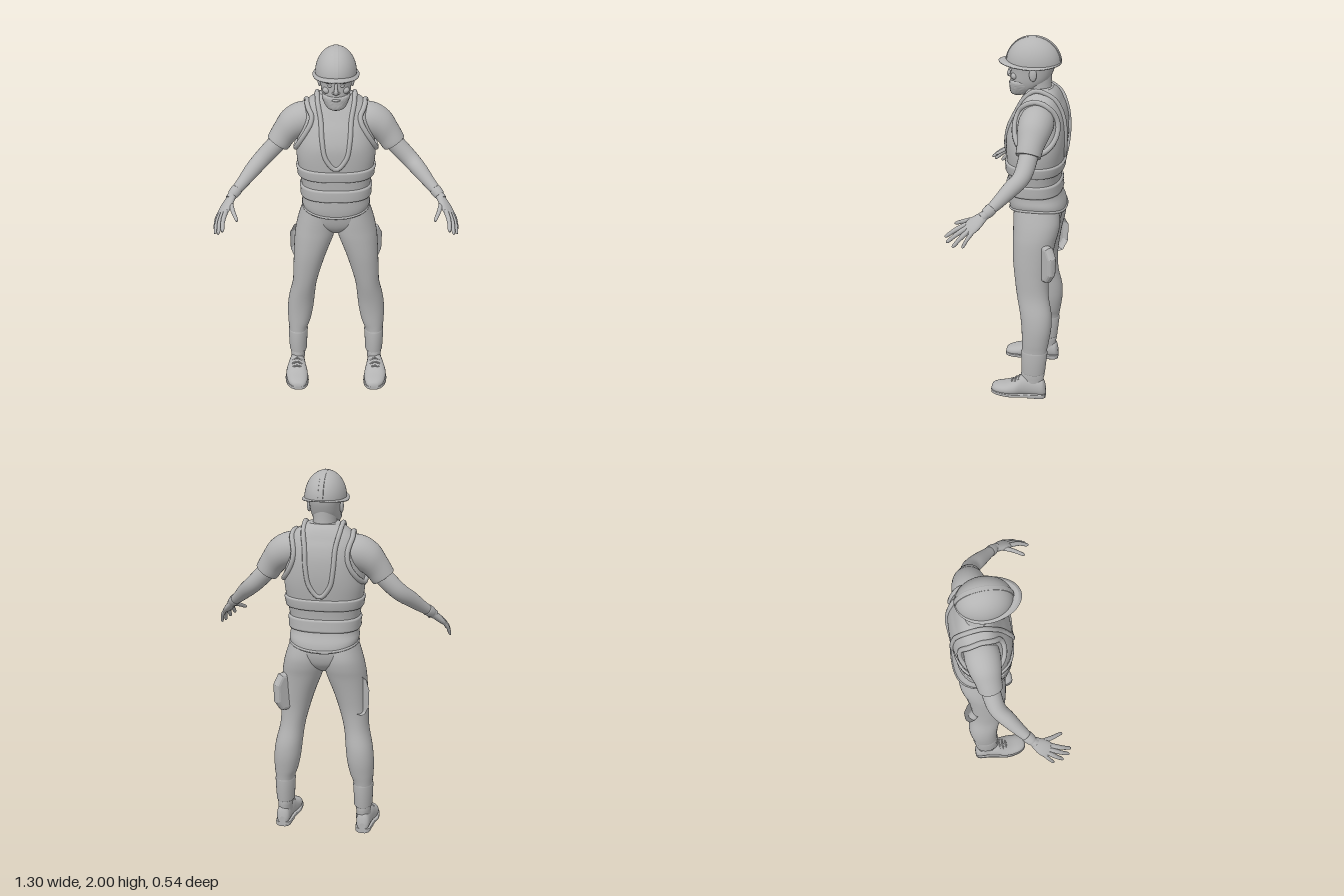
import * as THREE from 'three';

const V = (x, y, z) => new THREE.Vector3(x, y, z);
const TAU = Math.PI * 2;

// Catmull-Rom interpolation through the rows of a small table
function smooth(rows, sub = 4) {
  const out = [], at = i => rows[Math.max(0, Math.min(rows.length - 1, i))];
  for (let i = 0; i < rows.length - 1; i++)
    for (let s = 0; s < sub; s++) {
      const t = s / sub;
      out.push(rows[i].map((b, k) => {
        const a = at(i - 1)[k], c = at(i + 1)[k], d = at(i + 2)[k];
        return b + 0.5 * t * (c - a + t * (2 * a - 5 * b + 4 * c - d + t * (3 * (b - c) + d - a)));
      }));
    }
  out.push(rows[rows.length - 1]);
  return out;
}

// Closed smooth skin over a list of rings, with both ends capped
function skin(rings) {
  const n = rings[0].length, pos = [], idx = [];
  rings.forEach(r => r.forEach(p => pos.push(p.x, p.y, p.z)));
  for (let i = 0; i < rings.length - 1; i++)
    for (let j = 0; j < n; j++) {
      const a = i * n + j, b = i * n + (j + 1) % n;
      idx.push(a, a + n, b, b, a + n, b + n);
    }
  [0, rings.length - 1].forEach((ri, end) => {
    const base = pos.length / 3, mid = V(0, 0, 0);
    rings[ri].forEach(p => { mid.addScaledVector(p, 1 / n); pos.push(p.x, p.y, p.z); });
    pos.push(mid.x, mid.y, mid.z);
    for (let j = 0; j < n; j++) {
      const a = base + j, b = base + (j + 1) % n;
      idx.push(base + n, end ? b : a, end ? a : b);
    }
  });
  const g = new THREE.BufferGeometry();
  g.setAttribute('position', new THREE.Float32BufferAttribute(pos, 3));
  g.setIndex(idx);
  g.computeVertexNormals();
  return g;
}

const spow = (v, e) => Math.sign(v) * Math.abs(v) ** e;
const ringOf = (n, f) => Array.from({ length: n }, (_, j) => f(j / n * TAU));

// Upright ring from [y, xMin, xMax, zFront, zBack]
const upright = ([y, x0, x1, zf, zb], e = 2, n = 40) => ringOf(n, a => V(
  (x0 + x1) / 2 + (x1 - x0) / 2 * spow(Math.cos(a), 2 / e), y,
  (zf + zb) / 2 + (zf - zb) / 2 * spow(Math.sin(a), 2 / e)));

// Round limb along [x, y, z, radius] rows
function limb(rows, n = 20, sub = 4) {
  const r = smooth(rows, sub);
  const c = new THREE.CatmullRomCurve3(rows.map(p => V(p[0], p[1], p[2])));
  const f = c.computeFrenetFrames(r.length - 1);
  return skin(r.map((p, i) => ringOf(n, a => V(p[0], p[1], p[2])
    .addScaledVector(f.normals[i], Math.cos(a) * p[3])
    .addScaledVector(f.binormals[i], -Math.sin(a) * p[3]))));
}

const piping = (pts, r, closed = true) =>
  new THREE.TubeGeometry(new THREE.CatmullRomCurve3(pts, closed), 96, r, 8, closed);

const ball = (x, y, z, sx, sy, sz) => new THREE.SphereGeometry(1, 20, 14).scale(sx, sy, sz).translate(x, y, z);

export function createModel() {
  const root = new THREE.Group();
  const grey = new THREE.MeshStandardMaterial({ color: 0xb4b4b4 });
  grey.name = 'plain grey';
  const add = (name, geo) => {
    const m = new THREE.Mesh(geo, grey);
    m.name = name;
    root.add(m);
  };
  // Adds a part on the left (+x) and its mirror image on the right
  const pair = (name, geo) => {
    add('left ' + name, geo);
    const g = geo.clone().scale(-1, 1, 1), ix = g.index ? g.index.array : null;
    if (ix) for (let i = 0; i < ix.length; i += 3) [ix[i], ix[i + 1]] = [ix[i + 1], ix[i]];
    add('right ' + name, g);
  };

  // Vest body: [y, half width, front z, back z]
  const E = 2.5;
  const vest = smooth([[1.055, .178, .03, -.268], [1.1, .186, .038, -.262], [1.16, .182, .04, -.24],
    [1.22, .185, .04, -.235], [1.3, .198, .045, -.245], [1.4, .213, .052, -.262], [1.48, .208, .05, -.27],
    [1.56, .195, .025, -.268], [1.62, .186, -.005, -.255], [1.66, .176, -.025, -.238],
    [1.69, .15, -.04, -.225], [1.715, .115, -.05, -.21], [1.735, .085, -.06, -.19]]);
  const vestAt = y => {
    const i = Math.max(1, vest.findIndex(r => r[0] >= y));
    const a = vest[i - 1], b = vest[i], t = (y - a[0]) / (b[0] - a[0]);
    return a.map((v, k) => v + (b[k] - v) * t);
  };
  const vestRing = ([y, w, f, b], o = 0) => upright([y, -w - o, w + o, f + o, b - o], E, 64);
  const hemLift = ring => ring.map(p => {
    p.y += Math.max(0, 1 - (p.y - 1.055) / .09) * 3 * .3 * p.x * p.x;
    return p;
  });
  add('vest', skin(vest.map(r => hemLift(vestRing(r)))));
  const onVest = (x, y, side) => {
    const [, w, f, b] = vestAt(y), k = (1 - Math.min(1, Math.abs(x / w)) ** E) ** (1 / E);
    return V(x, y, (f + b) / 2 + side * k * (f - b) / 2);
  };

  // Raised waist bands and hem
  for (const [y0, y1] of [[1.16, 1.235], [1.28, 1.345]])
    add('vest band', skin([[0, -.004], [.08, .008], [.2, .012], [.5, .01], [.8, .012], [.92, .008], [1, -.004]]
      .map(([t, o]) => vestRing(vestAt(y0 + (y1 - y0) * t), o))));
  add('vest hem', piping(hemLift(vestRing(vestAt(1.066))), .007));

  // Deep collar piping, front and back, and armhole piping
  const edge = [[.095, 1.695], [.08, 1.62], [.073, 1.52], [.053, 1.42], [0, 1.362]];
  const half = s => [...edge.map(([x, y]) => onVest(-s * x, y, s)),
    ...edge.slice(0, 4).reverse().map(([x, y]) => onVest(s * x, y, s))];
  add('collar piping', piping([V(-.1, 1.735, -.115), ...half(1), V(.1, 1.735, -.115), ...half(-1)], .013));
  pair('armhole piping', piping(ringOf(20, a => {
    const y = 1.558 + .132 * Math.cos(a), z = -.125 + .113 * Math.sin(a), [, w, f, b] = vestAt(y);
    const k = Math.min(.97, Math.abs((z - (f + b) / 2) / ((f - b) / 2)));
    return V(w * (1 - k ** E) ** (1 / E) + .004, y, z);
  }), .014));

  // Sleeves, arms and wrists
  pair('sleeve', limb([[.11, 1.59, -.13, .08], [.18, 1.585, -.13, .092], [.245, 1.55, -.125, .084],
    [.282, 1.5, -.118, .07], [.306, 1.462, -.113, .066], [.313, 1.452, -.112, .064]], 28));
  pair('arm', limb([[.27, 1.5, -.118, .05], [.34, 1.425, -.11, .049], [.4, 1.365, -.092, .046],
    [.45, 1.32, -.045, .042], [.5, 1.27, .005, .033], [.548, 1.225, .055, .025], [.565, 1.205, .078, .025]], 24));
  pair('wrist cuff', limb([[.528, 1.244, .034, .025], [.531, 1.241, .037, .031], [.548, 1.225, .055, .029],
    [.555, 1.218, .063, .025]]));

  // Hands: flattened palm, four fingers and a thumb
  const wrist = V(.55, 1.222, .058), knuckle = V(.602, 1.153, .14);
  const along = knuckle.clone().sub(wrist).normalize();
  const across = V(.035, -.015, -.05);
  across.addScaledVector(along, -across.dot(along)).normalize();
  const thick = across.clone().cross(along);
  pair('palm', skin(smooth([[0, .022, .02], [.3, .032, .02], [.65, .042, .019], [.95, .042, .015], [1.12, .034, .008]])
    .map(([t, w, h]) => ringOf(20, a => wrist.clone().lerp(knuckle, t)
      .addScaledVector(across, w * Math.cos(a)).addScaledVector(thick, h * Math.sin(a))))));
  [[.582, 1.165, .162, .597, 1.1, .262], [.597, 1.156, .15, .621, 1.08, .25], [.608, 1.15, .133, .64, 1.065, .215],
    [.614, 1.148, .112, .648, 1.068, .163], [.562, 1.197, .09, .52, 1.145, .228]].forEach((f, i) => {
    const a = V(f[0], f[1], f[2]), b = V(f[3], f[4], f[5]), r = i === 3 ? .0095 : .0115;
    const p = (t, k, lift = 0) => [...a.clone().lerp(b, t).add(V(lift, lift, 0)).toArray(), r * k];
    pair(i === 4 ? 'thumb' : 'finger', limb([p(-.1, 1.1), p(.3, 1.1, .005), p(.6, .95, .005), p(.9, .8), p(1, .35)], 12, 3));
  });

  // Trousers: hips, legs and cuffs as [y, inner x, outer x, front z, back z]
  add('hips', skin(smooth([[.925, -.03, .03, -.07, -.16], [.96, -.09, .09, -.025, -.215], [1, -.175, .175, -.002, -.24],
    [1.06, -.18, .18, .012, -.25], [1.12, -.172, .172, .02, -.235]]).map(r => upright(r, 2.3))));
  pair('leg', skin(smooth([[.15, .176, .267, -.066, -.19], [.28, .168, .271, -.066, -.203], [.34, .148, .276, -.064, -.213],
    [.42, .131, .277, -.06, -.224], [.5, .122, .268, -.05, -.222], [.6, .11, .246, -.03, -.203], [.7, .084, .24, -.015, -.2],
    [.8, .052, .236, -.003, -.212], [.9, .014, .23, .002, -.23], [.96, .002, .221, .002, -.245],
    [1.02, .004, .206, .002, -.25], [1.1, .02, .18, 0, -.235]]).map(r => upright(r, 2.15))));
  pair('trouser cuff', skin([[.145, .174, .267, -.068, -.19], [.15, .17, .27, -.064, -.194], [.21, .168, .273, -.062, -.2],
    [.275, .164, .275, -.06, -.207], [.285, .17, .27, -.066, -.202]].map(r => upright(r))));
  pair('sock', skin([[.07, .185, .262, -.06, -.185], [.12, .182, .262, -.065, -.188], [.135, .178, .265, -.06, -.192],
    [.16, .182, .262, -.068, -.188]].map(r => upright(r))));

  // Thigh pouches: bevelled plates set diagonally outward and back
  const plate = new THREE.Shape([[-.035, -.1], [.035, -.095], [.066, -.05], [.07, .045], [.04, .095], [-.03, .1],
    [-.06, .06], [-.06, -.06]].map(p => new THREE.Vector2(...p)));
  pair('thigh pouch', new THREE.ExtrudeGeometry(plate, { depth: .012, bevelThickness: .02, bevelSize: .02, bevelOffset: -.012, bevelSegments: 3 })
    .translate(0, 0, -.006).rotateY(Math.PI * .26).translate(.197, .808, -.183));

  // Shoes along z: [z, inner x, outer x, top y]
  const shoe = smooth([[.108, .2, .23, .03], [.1, .183, .25, .05], [.07, .168, .273, .062], [.02, .163, .286, .075],
    [-.03, .168, .287, .1], [-.07, .178, .277, .13], [-.12, .184, .268, .127], [-.17, .188, .264, .118], [-.19, .195, .257, .1], [-.2, .21, .243, .06]], 3);
  const shoeRings = (rows, lo, grow, top, e) => rows.map(([z, x0, x1, y]) => ringOf(28, a => {
    const h = top || y, c = Math.cos(a), s = Math.sin(a), narrow = top ? 1 : 1 - .28 * Math.max(0, s) * Math.min(1, y / .12);
    return V((x0 + x1) / 2 + ((x1 - x0) / 2 + grow) * spow(c, 2 / e) * narrow, (h + lo) / 2 + (h - lo) / 2 * spow(s, 2 / e), z);
  }));
  pair('shoe', skin(shoeRings(shoe, .012, 0, 0, 2.6)));
  pair('shoe sole', skin(shoeRings(shoe, .008, .005, .028, 6)));
  pair('shoe heel', skin(shoeRings(shoe.filter(r => r[0] < -.1), 0, .004, .028, 6)));
  for (let i = 0; i < 3; i++) {
    const z = -.012 - i * .02, y = .088 + i * .013;
    pair('shoe lace', piping([V(.197, y - .008, z), V(.226, y + .005, z), V(.256, y - .008, z)], .005, false));
  }

  // Neck and head
  add('neck', skin(smooth([[1.62, -.09, .09, -.04, -.2], [1.69, -.066, .066, -.045, -.19], [1.74, -.062, .062, -.035, -.18],
    [1.82, -.064, .064, -.03, -.182]]).map(r => upright(r))));
  add('head', skin(smooth([[1.688, -.025, .025, .02, -.03], [1.7, -.045, .045, .032, -.06], [1.73, -.063, .063, .036, -.12],
    [1.77, -.076, .076, .036, -.165], [1.82, -.083, .083, .036, -.19], [1.86, -.088, .088, .04, -.2], [1.9, -.088, .088, .035, -.2]])
    .map(r => upright(r, 2.3))));

  // Beard: a rough shell over the jaw
  const beard = smooth([[1.684, -.022, .022, .018, -.02], [1.697, -.047, .047, .036, -.06], [1.73, -.067, .067, .041, -.09],
    [1.757, -.074, .074, .04, -.09], [1.77, -.07, .07, .03, -.085]], 6).map(r => upright(r, 2.3, 72));
  beard.forEach((ring, i) => ring.forEach((p, j) => {
    const n = Math.sin(i * 12.99 + j * 78.23) * 43758.5, d = 1 + .035 * (n - Math.floor(n) - .5);
    p.x *= d; p.z = -.03 + (p.z + .03) * d;
  }));
  add('beard', skin(beard));

  // Face details
  add('nose', limb([[0, 1.835, .036, .008], [0, 1.81, .042, .009], [0, 1.793, .046, .012], [0, 1.782, .04, .009]], 16));
  add('mouth', ball(0, 1.748, .038, .024, .007, .008));
  pair('nostril', ball(.011, 1.788, .037, .009, .008, .009));
  pair('eye', ball(.032, 1.824, .026, .013, .008, .011));
  pair('brow', ball(.034, 1.842, .03, .021, .006, .009));
  pair('cheek', ball(.046, 1.795, .006, .024, .02, .022));
  pair('ear', ball(.086, 1.815, -.09, .011, .035, .02).rotateX(-.003));

  // Hard hat: dome, brim and crown ridge
  add('helmet dome', new THREE.SphereGeometry(1, 48, 20, 0, TAU, 0, Math.PI / 2)
    .scale(.109, .138, .143).translate(0, 1.862, -.085));
  const brimRing = (y, o) => ringOf(64, a => {
    const s = Math.sin(a), f = Math.max(0, s);
    return V((.121 + o) * Math.cos(a), y - .012 * Math.cos(a) ** 2 + .004 * f, -.085 + s * (s > 0 ? .183 + o : .145 + o));
  });
  add('helmet brim', skin([brimRing(1.86, -.012), brimRing(1.858, 0), brimRing(1.864, .002), brimRing(1.872, -.014)]));
  const arc = new THREE.Shape();
  arc.absellipse(0, 0, .143, .138, .15, Math.PI - .15);
  add('helmet ridge', new THREE.ExtrudeGeometry(arc, { depth: .018, bevelThickness: .005, bevelSize: .005, bevelSegments: 2, curveSegments: 40 })
    .translate(0, 0, -.009).rotateY(Math.PI / 2).translate(0, 1.8585, -.085));

  return root;
}
